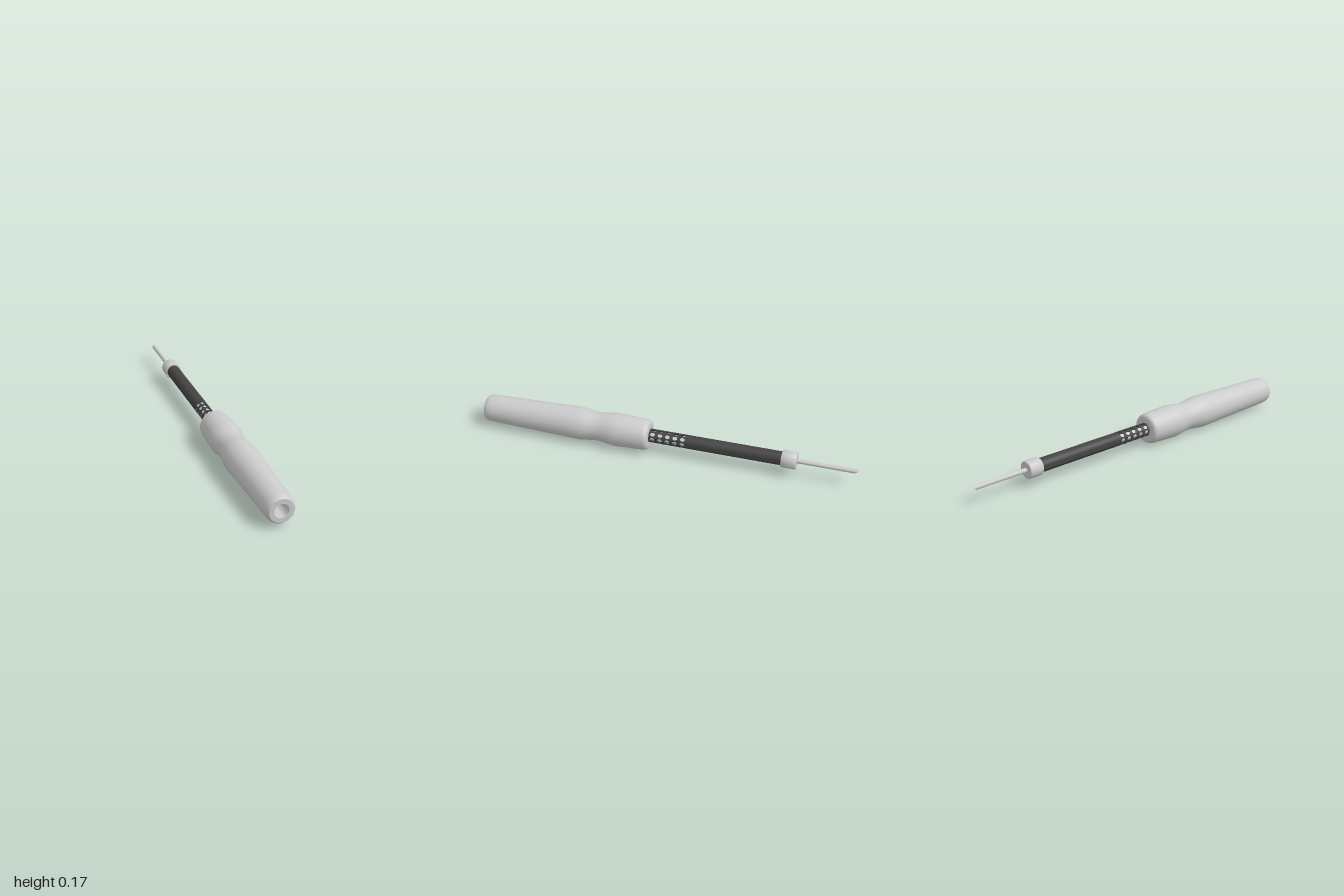
import * as THREE from 'three';
import { toCreasedNormals } from 'three/addons/utils/BufferGeometryUtils.js';

const AXIS_Y = 0.088;
const grey = new THREE.MeshStandardMaterial({ color: 0xcccccc });
const dark = new THREE.MeshStandardMaterial({ color: 0x444444 });

function addPart(parent, name, geometry, material) {
  const mesh = new THREE.Mesh(geometry, material);
  mesh.name = name;
  parent.add(mesh);
}

// Profile of [radius, z], turned about the long axis of the tool
function turned(profile, sides) {
  const points = profile.map(([r, z]) => new THREE.Vector2(r, z));
  const geometry = new THREE.LatheGeometry(points, sides).rotateX(Math.PI / 2);
  return toCreasedNormals(geometry, 0.65);
}

// One lengthwise strip of the vented sleeve: flat sheet with holes, bent round the axis
function ventStrip(index, strips, radius, wall, z0, z1, holes) {
  const half = Math.PI / strips;
  const steps = 4;
  const shape = new THREE.Shape();
  shape.moveTo(-half, z0);
  for (let i = 1; i <= steps; i++) shape.lineTo(-half + (2 * half * i) / steps, z0);
  for (let i = steps; i >= 0; i--) shape.lineTo(-half + (2 * half * i) / steps, z1);
  for (const z of holes) {
    const hole = new THREE.Path();
    hole.absellipse(0, z, 0.29, 0.013, 0, Math.PI * 2, true);
    shape.holes.push(hole);
  }
  const geometry = new THREE.ExtrudeGeometry(shape, { depth: wall, bevelEnabled: false, curveSegments: 8 });
  const p = geometry.attributes.position;
  for (let i = 0; i < p.count; i++) {
    const angle = (index * 2 * Math.PI) / strips + p.getX(i);
    const r = radius - wall + p.getZ(i);
    p.setXYZ(i, Math.cos(angle) * r, Math.sin(angle) * r, p.getY(i));
  }
  return toCreasedNormals(geometry, 0.65);
}

export function createModel() {
  const model = new THREE.Group();
  model.name = 'solderingIron';
  const tool = new THREE.Group();
  tool.name = 'tool';
  tool.position.y = AXIS_Y;
  model.add(tool);

  // Waisted handle, bored through from end to end
  addPart(tool, 'handle', turned([
    [0.036, 0.088], [0.058, 0.088], [0.068, 0.090], [0.075, 0.095], [0.079, 0.103], [0.081, 0.115],
    [0.084, 0.18], [0.087, 0.25], [0.0875, 0.27], [0.085, 0.295], [0.078, 0.335],
    [0.075, 0.365], [0.077, 0.395], [0.084, 0.44], [0.087, 0.47], [0.0865, 0.50],
    [0.083, 0.60], [0.078, 0.78], [0.073, 0.95], [0.071, 0.977], [0.067, 0.992], [0.06, 1.0],
    [0.036, 1.0], [0.036, 0.088],
  ], 24), grey);

  // Solid part of the barrel
  addPart(tool, 'barrel', turned([
    [0.032, -0.63], [0.0355, -0.63], [0.0355, -0.108], [0.032, -0.108], [0.032, -0.63],
  ], 32), dark);

  // Vented part of the barrel
  const vents = new THREE.Group();
  vents.name = 'ventedSleeve';
  tool.add(vents);
  const holes = [0.068, 0.028, -0.012, -0.052, -0.092];
  for (let i = 0; i < 8; i++) {
    addPart(vents, 'ventStrip', ventStrip(i, 8, 0.0355, 0.003, -0.108, 0.13, holes), dark);
  }

  // Heating core seen through the vents
  addPart(tool, 'heatingCore', turned([
    [0, -0.63], [0.023, -0.63], [0.023, 0.13], [0, 0.13],
  ], 24), grey);

  // Collar that holds the tip, closed behind the barrel's end
  addPart(tool, 'collar', turned([
    [0, -0.684], [0.042, -0.684], [0.045, -0.680], [0.045, -0.612], [0.042, -0.607],
    [0.034, -0.607], [0.034, -0.628], [0, -0.628],
  ], 24), grey);

  // Tip rod through the core, its end cut on a slant and longest at the top
  const rod = 0.012;
  const tip = new THREE.CylinderGeometry(rod, rod, 1.13, 16).rotateX(Math.PI / 2).translate(0, 0, -0.43);
  const p = tip.attributes.position;
  for (let i = 0; i < p.count; i++) {
    if (p.getZ(i) < -0.9) p.setZ(i, -1 + 1.2 * (rod - p.getY(i)));
  }
  addPart(tool, 'tip', toCreasedNormals(tip, 0.65), grey);

  return model;
}
